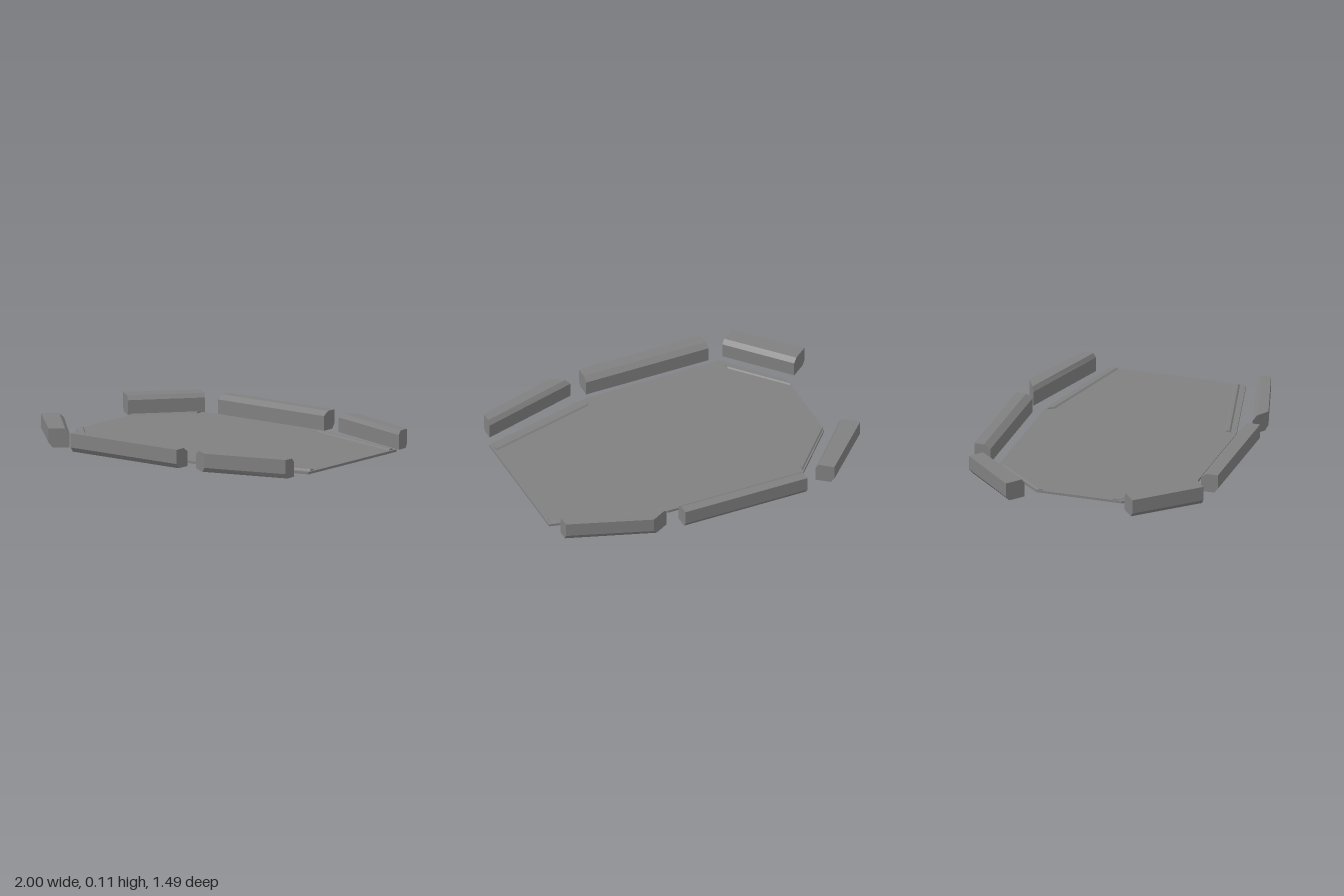
import * as THREE from 'three';

const grey = new THREE.MeshStandardMaterial({ color: 0x808080, flatShading: true });

// Sweeps a section between two ends. Each end is [innerX, innerZ, outerX, outerZ];
// section points are [t, y], with t running 0 (inner) to 1 (outer), anticlockwise.
function prism(name, end0, end1, section) {
  const [ax, az, bx, bz] = end0;
  const side = (bx - ax) * (end1[1] - az) - (bz - az) * (end1[0] - ax);
  const ends = side < 0 ? [end1, end0] : [end0, end1];
  const [p, q] = ends.map(([ix, iz, ox, oz]) =>
    section.map(([t, y]) => [ix + (ox - ix) * t, y, iz + (oz - iz) * t]));
  const out = [];
  const tri = (a, b, c) => out.push(...a, ...b, ...c);
  const n = section.length;
  for (let i = 0; i < n; i++) {
    const j = (i + 1) % n;
    tri(p[i], p[j], q[j]);
    tri(p[i], q[j], q[i]);
  }
  for (let i = 1; i < n - 1; i++) {
    tri(q[0], q[i], q[i + 1]);
    tri(p[0], p[i + 1], p[i]);
  }
  const geometry = new THREE.BufferGeometry();
  geometry.setAttribute('position', new THREE.Float32BufferAttribute(out, 3));
  geometry.computeVertexNormals();
  const mesh = new THREE.Mesh(geometry, grey);
  mesh.name = name;
  return mesh;
}

// Bar: bevelled on the upper inner edge and the lower outer edge
const barSection = (bevel) => [
  [0, 0], [0.8, 0], [1, 0.028], [1, 0.112], [bevel, 0.112], [0, 0.087],
];

// Thin raised strip with sloping sides
const stripSection = [[0, 0.016], [1, 0.016], [0.72, 0.027], [0.3, 0.027]];

export function createModel() {
  const model = new THREE.Group();

  // Eight-sided floor plate
  const outline = [
    [-0.83, 0.266], [-0.545, 0.59], [0.31, 0.59], [1, 0.421],
    [1, -0.412], [0.31, -0.582], [-0.545, -0.582], [-0.83, -0.257],
  ];
  const shape = new THREE.Shape(outline.map(([x, z]) => new THREE.Vector2(x, -z)));
  const plateGeometry = new THREE.ExtrudeGeometry(shape, { depth: 0.014, bevelEnabled: false });
  plateGeometry.rotateX(-Math.PI / 2).translate(0, 0.005, 0);
  const plate = new THREE.Mesh(plateGeometry, grey);
  plate.name = 'floorPlate';
  model.add(plate);

  // Six bars standing clear of the plate
  const bars = [
    ['frontBar', [-0.5, 0.642, -0.5, 0.745], [0.28, 0.642, 0.28, 0.745], 0.32],
    ['backBar', [-0.5, -0.648, -0.5, -0.746], [0.28, -0.648, 0.28, -0.746], 0.4],
    ['frontRightBar', [-0.895, 0.304, -1, 0.387], [-0.59, 0.643, -0.685, 0.717], 0.2],
    ['backRightBar', [-0.9, -0.308, -1, -0.388], [-0.597, -0.648, -0.685, -0.717], 0.14],
    ['frontLeftBar', [0.367, 0.67, 0.475, 0.732], [0.96, 0.504, 0.96, 0.586], 0.27],
    ['backLeftBar', [0.367, -0.672, 0.475, -0.733], [0.96, -0.485, 0.96, -0.563], 0.2],
  ];
  for (const [name, a, b, bevel] of bars) model.add(prism(name, a, b, barSection(bevel)));

  // Four strips along the slanted plate edges
  const strips = [
    ['frontRightStrip', [-0.825, 0.202, -0.825, 0.247], [-0.56, 0.499, -0.56, 0.547]],
    ['backRightStrip', [-0.825, -0.21, -0.825, -0.255], [-0.555, -0.51, -0.555, -0.56]],
    ['frontLeftStrip', [0.32, 0.515, 0.32, 0.556], [0.985, 0.347, 0.985, 0.392]],
    ['backLeftStrip', [0.33, -0.522, 0.305, -0.57], [0.985, -0.354, 0.985, -0.402]],
  ];
  for (const [name, a, b] of strips) model.add(prism(name, a, b, stripSection));

  return model;
}
